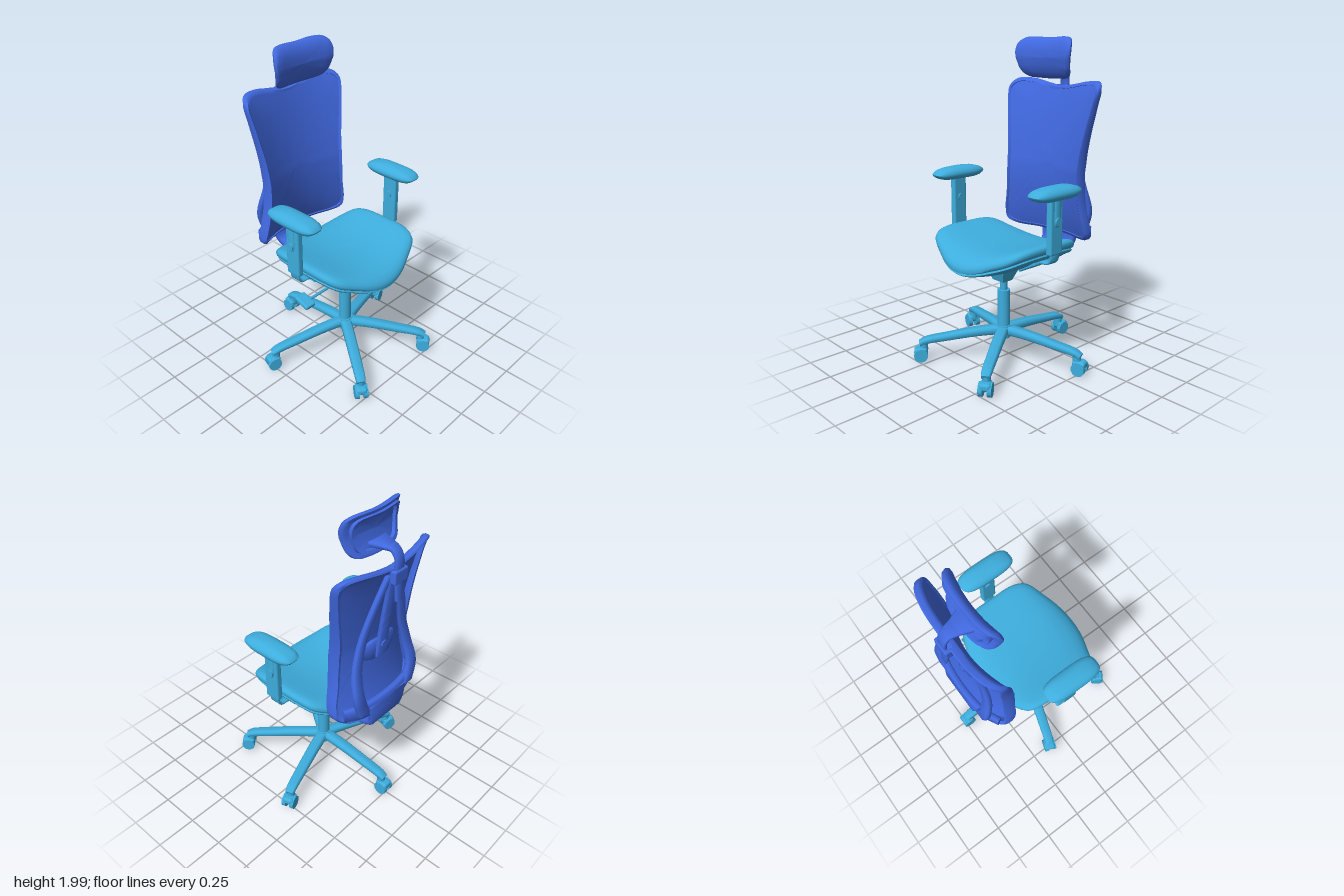
import * as THREE from 'three';
import { toCreasedNormals } from 'three/addons/utils/BufferGeometryUtils.js';
import { RoundedBoxGeometry } from 'three/addons/geometries/RoundedBoxGeometry.js';

const V = (x, y, z) => new THREE.Vector3(x, y, z);
const teal = new THREE.MeshStandardMaterial({ color: 0x3eaede });
const blue = new THREE.MeshStandardMaterial({ color: 0x4169e1 });

function add(parent, name, geo, mat, x = 0, y = 0, z = 0) {
  const m = new THREE.Mesh(geo, mat);
  m.name = name;
  m.position.set(x, y, z);
  parent.add(m);
  return m;
}

// Skin a list of equal-length closed rings; capped, or joined end to start.
function loft(rings, joined = false) {
  const n = rings[0].length, pts = rings.flat(), idx = [];
  const last = joined ? rings.length : rings.length - 1;
  for (let r = 0; r < last; r++) for (let i = 0; i < n; i++) {
    const a = r * n + i, b = r * n + (i + 1) % n;
    const off = ((r + 1) % rings.length - r) * n;
    idx.push(a, b, b + off, a, b + off, a + off);
  }
  if (!joined) [0, rings.length - 1].forEach((r, end) => {
    const c = rings[r].reduce((s, p) => s.add(p), V(0, 0, 0)).divideScalar(n);
    pts.push(c);
    for (let i = 0; i < n; i++) {
      const a = r * n + i, b = r * n + (i + 1) % n;
      idx.push(pts.length - 1, ...(end ? [a, b] : [b, a]));
    }
  });
  // Turn faces outward, whichever way the rings run.
  let vol = 0;
  for (let i = 0; i < idx.length; i += 3)
    vol += pts[idx[i]].dot(pts[idx[i + 1]].clone().cross(pts[idx[i + 2]]));
  if (vol < 0) idx.reverse();
  const g = new THREE.BufferGeometry().setFromPoints(pts);
  g.setIndex(idx);
  return toCreasedNormals(g, 0.85);
}

// Sweep a chamfered bar along points [x, y, z, halfWidth, halfHeight]; width runs along `side`.
function sweep(points, side, steps = 20) {
  const curve = new THREE.CatmullRomCurve3(points.map(p => V(p[0], p[1], p[2])));
  const rings = [];
  for (let i = 0; i <= steps; i++) {
    const t = i / steps, f = t * (points.length - 1), k = Math.min(Math.floor(f), points.length - 2);
    const mix = j => THREE.MathUtils.lerp(points[k][j], points[k + 1][j], f - k);
    const c = curve.getPoint(t), w = mix(3), h = mix(4), e = Math.min(w, h) * 0.45;
    const up = curve.getTangent(t).cross(side).normalize();
    rings.push([[w, h - e], [w - e, h], [e - w, h], [-w, h - e], [-w, e - h], [e - w, -h], [w - e, -h], [w, e - h]]
      .map(([a, b]) => c.clone().addScaledVector(side, a).addScaledVector(up, b)));
  }
  return loft(rings);
}

// Smooth closed outline mirrored across the second coordinate; first and last points lie on the axis.
function outline(half, n = 64) {
  const all = [...half, ...half.slice(1, -1).reverse().map(([a, b]) => [a, -b])];
  return new THREE.CatmullRomCurve3(all.map(([a, b]) => V(a, b, 0)), true).getPoints(n).slice(0, n);
}

// Linear interpolation in a short table of [key, value].
function table(rows) {
  return k => {
    if (k <= rows[0][0]) return rows[0][1];
    for (let i = 1; i < rows.length; i++) if (k <= rows[i][0])
      return THREE.MathUtils.mapLinear(k, rows[i - 1][0], rows[i][0], rows[i - 1][1], rows[i][1]);
    return rows[rows.length - 1][1];
  };
}

function buildBase(g) {
  const base = new THREE.Group();
  base.name = 'base';
  base.position.x = 0.045;
  g.add(base);
  add(base, 'hub', new THREE.CylinderGeometry(0.05, 0.045, 0.08, 24), teal, 0, 0.185);
  add(base, 'columnSleeve', new THREE.CylinderGeometry(0.04, 0.04, 0.32, 24), teal, 0, 0.3);
  add(base, 'gasPiston', new THREE.CylinderGeometry(0.023, 0.023, 0.12, 20), teal, 0, 0.5);
  const mech = new THREE.CylinderGeometry(0.115, 0.055, 0.12, 4).rotateY(Math.PI / 4).scale(1, 1, 1.2);
  add(base, 'tiltMechanism', toCreasedNormals(mech, 0.3), teal, 0.01, 0.585);
  for (let i = 0; i < 5; i++) {
    const leg = new THREE.Group();
    leg.name = 'leg';
    leg.rotation.y = -(36 + 72 * i) * Math.PI / 180;
    base.add(leg);
    add(leg, 'legBeam', sweep([[0.02, 0.195, 0, 0.036, 0.028], [0.18, 0.185, 0, 0.035, 0.025],
      [0.36, 0.162, 0, 0.033, 0.021], [0.49, 0.143, 0, 0.031, 0.018], [0.53, 0.125, 0, 0.026, 0.015]], V(0, 0, 1)), teal);
    const caster = new THREE.Group();
    caster.name = 'caster';
    caster.position.x = 0.505;
    leg.add(caster);
    add(caster, 'casterStem', new THREE.CylinderGeometry(0.026, 0.026, 0.06, 16), teal, 0, 0.11);
    for (const s of [-1, 1])
      add(caster, 'wheel', new THREE.CylinderGeometry(0.043, 0.043, 0.026, 24).rotateX(Math.PI / 2), teal, 0.02, 0.052, s * 0.027);
    add(caster, 'casterHood', new RoundedBoxGeometry(0.082, 0.048, 0.07, 3, 0.018), teal, 0.02, 0.075);
  }
}

function buildSeat(g) {
  const shape = outline([[0.417, 0], [0.402, 0.12], [0.36, 0.236], [0.305, 0.345], [0.22, 0.383], [0.05, 0.388],
    [-0.126, 0.383], [-0.205, 0.355], [-0.285, 0.2], [-0.322, 0]]);
  const ring = (s, y) => shape.map(p => {
    const x = 0.045 + (p.x - 0.045) * s, z = p.y * s;
    return V(x, y(x, z), z);
  });
  // Saddle: sides rise, front and back droop.
  const top = d => (x, z) => 0.77 + 0.075 * (z / 0.38) ** 2 - 0.055 * ((x - 0.045) / 0.37) ** 4 - d;
  const bottom = (x, z) => 0.612 + 0.15 * (z / 0.38) ** 2 + 0.04 * ((x - 0.045) / 0.37) ** 4;
  const cushion = [[0.04, 0], [0.3, 0], [0.55, 0], [0.75, 0], [0.88, 0.004], [0.95, 0.012], [0.985, 0.024], [1, 0.04],
    [0.99, 0.058], [0.96, 0.068], [0.8, 0.075], [0.04, 0.08]];
  add(g, 'seatCushion', loft(cushion.map(([s, d]) => ring(s, top(d)))), teal);
  add(g, 'seatPan', loft([ring(0.04, top(0.075)), ring(0.96, top(0.07)), ring(0.97, top(0.078)), ring(0.945, top(0.09)),
    ring(0.85, bottom), ring(0.65, bottom), ring(0.4, bottom), ring(0.04, bottom)]), teal);
  // Height lever on the left
  add(g, 'leverRod', sweep([[0.06, 0.64, 0.1, 0.008, 0.008], [0.06, 0.6, 0.13, 0.008, 0.008],
    [0.06, 0.558, 0.165, 0.008, 0.008], [0.06, 0.552, 0.23, 0.008, 0.008], [0.06, 0.552, 0.34, 0.008, 0.008]], V(1, 0, 0)), teal);
  add(g, 'leverPaddle', new RoundedBoxGeometry(0.11, 0.03, 0.075, 2, 0.01), teal, 0.055, 0.553, 0.365).rotation.z = -0.3;
}

function buildArmrest(g, s) {
  const arm = new THREE.Group();
  arm.name = s > 0 ? 'armrestPositiveZ' : 'armrestNegativeZ';
  g.add(arm);
  const ring = (k, y) => Array.from({ length: 40 }, (_, i) => {
    const a = i / 40 * Math.PI * 2, c = Math.cos(a), n = Math.sin(a), e = 0.6;
    const u = Math.sign(c) * Math.abs(c) ** e * k, w = Math.sign(n) * Math.abs(n) ** e * k;
    return V(0.05 + 0.185 * u, y, s * 0.427 - 0.004 + 0.074 * w);
  });
  add(arm, 'armPad', loft([[0.05, 1.115], [0.75, 1.116], [0.86, 1.122], [0.97, 1.136], [1, 1.146], [0.97, 1.157],
    [0.86, 1.17], [0.65, 1.181], [0.35, 1.188], [0.05, 1.19]].map(([k, y]) => ring(k, y))), teal);
  add(arm, 'armPost', new RoundedBoxGeometry(0.1, 0.34, 0.042, 3, 0.012), teal, 0.048, 0.955, s * 0.427);
  add(arm, 'postSlot', new THREE.CapsuleGeometry(0.026, 0.13, 6, 16).scale(1, 1, 0.4), teal, 0.045, 1.04, s * 0.447);
  add(arm, 'heightButton', new THREE.CylinderGeometry(0.022, 0.025, 0.066, 20).rotateX(Math.PI / 2), teal, 0.045, 0.985, s * 0.43);
  add(arm, 'armBracket', sweep([[0.045, 0.81, s * 0.427, 0.035, 0.007], [0.045, 0.755, s * 0.423, 0.035, 0.007],
    [0.045, 0.73, s * 0.4, 0.035, 0.007], [0.045, 0.726, s * 0.355, 0.035, 0.007],
    [0.045, 0.715, s * 0.32, 0.035, 0.007]], V(1, 0, 0)), teal);
  add(arm, 'bracketPlate', new RoundedBoxGeometry(0.15, 0.026, 0.15, 2, 0.008), teal, 0.045, 0.688, s * 0.27).rotation.x = -s * 0.48;
}

function buildBack(g) {
  const back = new THREE.Group();
  back.name = 'backrest';
  g.add(back);
  // Outline as [height, half width]
  const shape = outline([[1.695, 0], [1.71, 0.12], [1.732, 0.24], [1.73, 0.34], [1.69, 0.375], [1.58, 0.362], [1.32, 0.318],
    [1.16, 0.31], [1.0, 0.32], [0.86, 0.345], [0.79, 0.345], [0.755, 0.29], [0.75, 0.14], [0.75, 0]], 96);
  const profile = table([[0.74, -0.345], [0.78, -0.312], [0.89, -0.282], [1.0, -0.265], [1.08, -0.256], [1.19, -0.256], [1.3, -0.272],
    [1.45, -0.302], [1.62, -0.345], [1.69, -0.368], [1.74, -0.4]]);
  const bow = table([[1.1, 0.08], [1.74, 0.06]]);
  const depth = table([[0.8, 1.2], [1.25, 1.3], [1.7, 0.8]]);
  const ring = (s, d) => shape.map(p => {
    const y = 1.24 + (p.x - 1.24) * s, z = p.y * s;
    return V(profile(y) - bow(y) * (1 - (z / 0.34) ** 2) - d * depth(y), y, z);
  });
  add(back, 'backFrame', loft([ring(0.985, 0), ring(1, 0.015), ring(1, 0.045), ring(0.98, 0.06), ring(0.93, 0.055), ring(0.955, 0.003)], true), blue);
  const steps = [0.03, 0.2, 0.4, 0.6, 0.8, 0.96];
  add(back, 'backPanel', loft([...steps.map(s => ring(s, 0.01)), ...steps.slice().reverse().map(s => ring(s, 0.02))]), blue);

  // Rear support: spine, arms spreading into a teardrop, lower band, link to the seat
  const Z = V(0, 0, 1);
  add(back, 'spine', sweep([[-0.47, 1.7, 0, 0.045, 0.014], [-0.44, 1.5, 0, 0.035, 0.014], [-0.41, 1.25, 0, 0.04, 0.014],
    [-0.4, 1.1, 0, 0.05, 0.012]], Z), blue);
  for (const s of [-1, 1])
    add(back, 'supportArm', sweep([[-0.45, 1.65, s * 0.03, 0.022, 0.014], [-0.425, 1.45, s * 0.12, 0.026, 0.015],
      [-0.4, 1.25, s * 0.18, 0.03, 0.016], [-0.41, 1.08, s * 0.225, 0.035, 0.018], [-0.445, 0.93, s * 0.24, 0.04, 0.02],
      [-0.45, 0.8, s * 0.2, 0.045, 0.02]], Z), blue);
  add(back, 'lowerBand', sweep([[-0.39, 0.81, -0.31, 0.04, 0.018], [-0.435, 0.805, -0.2, 0.05, 0.02], [-0.455, 0.8, 0, 0.055, 0.02],
    [-0.435, 0.805, 0.2, 0.05, 0.02], [-0.39, 0.81, 0.31, 0.04, 0.018]], V(0, 1, 0)), blue);
  add(back, 'seatLink', sweep([[-0.455, 0.82, 0, 0.17, 0.018], [-0.46, 0.75, 0, 0.15, 0.02], [-0.44, 0.675, 0, 0.13, 0.022],
    [-0.36, 0.632, 0, 0.12, 0.018], [-0.25, 0.617, 0, 0.105, 0.012], [-0.13, 0.612, 0, 0.1, 0.01]], Z), blue);
  add(back, 'lumbarPad', sweep([[-0.37, 1.15, -0.13, 0.045, 0.01], [-0.385, 1.15, -0.07, 0.065, 0.012], [-0.39, 1.15, 0, 0.065, 0.012],
    [-0.385, 1.15, 0.07, 0.065, 0.012], [-0.37, 1.15, 0.13, 0.045, 0.01]], V(0, 1, 0)), blue);
  add(back, 'lumbarKnob', new THREE.CylinderGeometry(0.025, 0.025, 0.035, 20).rotateZ(Math.PI / 2), blue, -0.41, 1.175);
}

function buildHeadrest(g) {
  const head = new THREE.Group();
  head.name = 'headrest';
  g.add(head);
  const shape = outline([[1.99, 0], [1.996, 0.12], [1.99, 0.185], [1.965, 0.217], [1.91, 0.23], [1.83, 0.215], [1.78, 0.198],
    [1.752, 0.165], [1.744, 0.09], [1.742, 0]]);
  const profile = table([[1.74, -0.3], [1.77, -0.28], [1.81, -0.262], [1.87, -0.25], [1.92, -0.254], [1.96, -0.266], [2, -0.295]]);
  const ring = (s, d) => shape.map(p => {
    const y = 1.87 + (p.x - 1.87) * s, z = p.y * s;
    return V(profile(y) - 0.035 * (1 - (z / 0.23) ** 2) - d, y, z);
  });
  const pad = [[0.05, 0], [0.4, 0], [0.7, 0], [0.9, 0.002], [0.97, 0.008], [1, 0.02], [0.98, 0.034], [0.92, 0.04], [0.6, 0.04], [0.05, 0.04]];
  add(head, 'headPad', loft(pad.map(([s, d]) => ring(s, d))), blue);
  add(head, 'headRim', loft([ring(0.82, 0.035), ring(0.82, 0.06), ring(0.7, 0.06), ring(0.7, 0.035)], true), blue);
  add(head, 'headStalk', sweep([[-0.32, 1.8, 0, 0.08, 0.016], [-0.4, 1.797, 0, 0.05, 0.013], [-0.455, 1.79, 0, 0.035, 0.011],
    [-0.485, 1.745, 0, 0.033, 0.011], [-0.489, 1.66, 0, 0.033, 0.01], [-0.496, 1.5, 0, 0.026, 0.01]], V(0, 0, 1)), blue);
  add(head, 'stalkClamp', new RoundedBoxGeometry(0.042, 0.08, 0.11, 2, 0.01), blue, -0.488, 1.65);
}

export function createModel() {
  const g = new THREE.Group();
  g.name = 'officeChair';
  buildBase(g);
  buildSeat(g);
  for (const s of [-1, 1]) buildArmrest(g, s);
  buildBack(g);
  buildHeadrest(g);
  return g;
}
